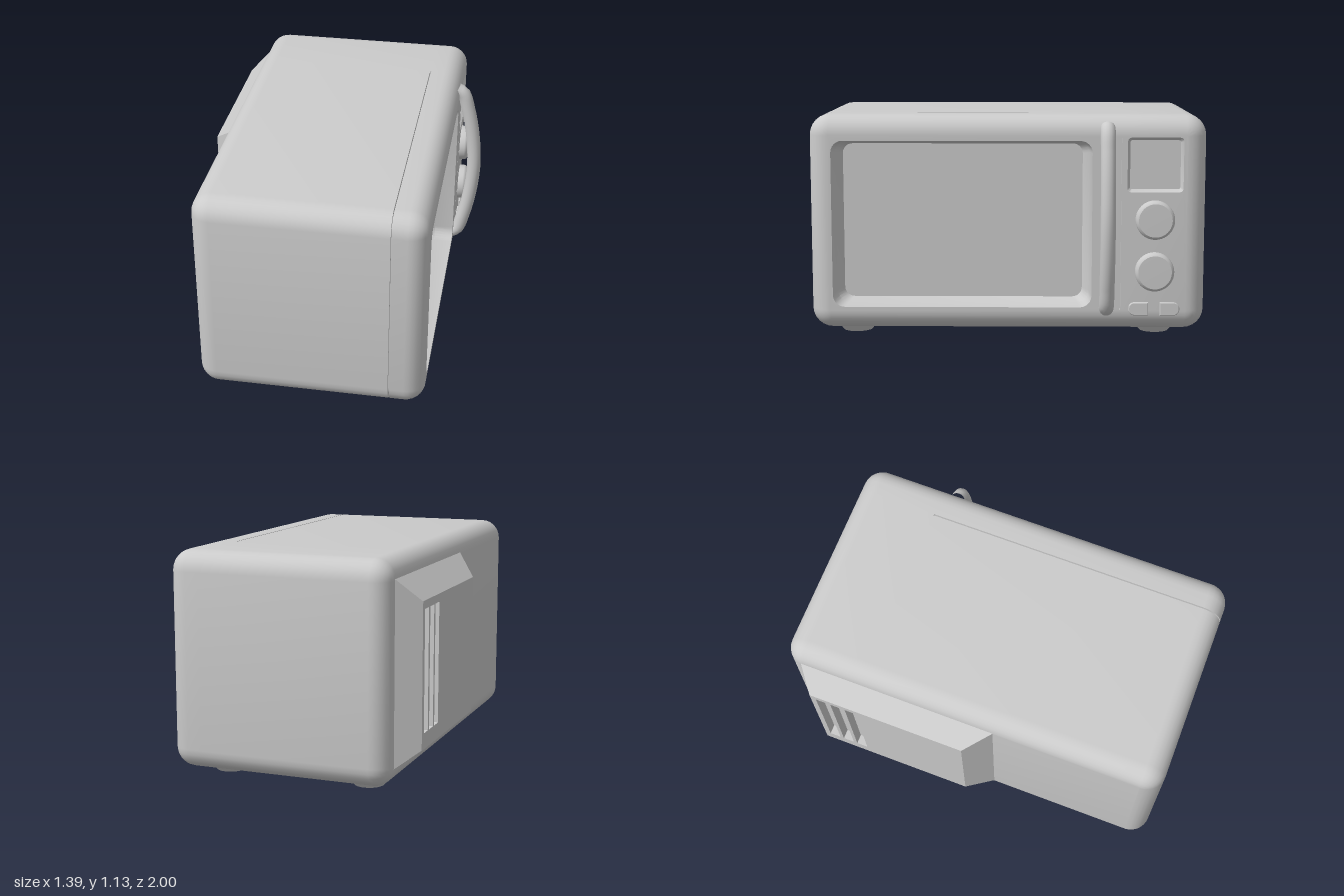
import * as THREE from 'three';
import { mergeGeometries, toCreasedNormals } from 'three/addons/utils/BufferGeometryUtils.js';

// Parts are laid out in a panel frame: u right, v up, w outwards.
const material = new THREE.MeshStandardMaterial({ color: 0xcccccc });
const DOOR_EDGE = 0.57;

// Counter-clockwise rounded rectangle as a list of 2D points.
function roundRect(u0, u1, v0, v1, r, n = 6) {
  const pts = [];
  const corners = [[u1 - r, v0 + r], [u1 - r, v1 - r], [u0 + r, v1 - r], [u0 + r, v0 + r]];
  corners.forEach(([u, v], k) => {
    for (let i = 0; i <= n; i++) {
      const a = (k - 1 + i / n) * Math.PI / 2;
      pts.push(new THREE.Vector2(u + r * Math.cos(a), v + r * Math.sin(a)));
    }
  });
  return pts;
}

// Skin between rings of equal point count; each ring is { pts, w }.
function loft(rings) {
  const pos = [], index = [], n = rings[0].pts.length;
  rings.forEach(({ pts, w }) => pts.forEach(p => pos.push(p.x, p.y, w)));
  for (let i = 0; i < rings.length - 1; i++) {
    for (let j = 0; j < n; j++) {
      const a = i * n + j, b = i * n + (j + 1) % n;
      index.push(a, b, b + n, a, b + n, a + n);
    }
  }
  const g = new THREE.BufferGeometry();
  g.setAttribute('position', new THREE.Float32BufferAttribute(pos, 3));
  g.setIndex(index);
  return g;
}

// Flat face at depth w with optional holes.
function face(pts, w, holes = []) {
  const shape = new THREE.Shape(pts);
  holes.forEach(h => shape.holes.push(new THREE.Path(h)));
  return new THREE.ShapeGeometry(shape).translate(0, 0, w);
}

// Pocket: walls running inwards from the first ring, closed by a floor.
function pocket(rings) {
  const last = rings[rings.length - 1];
  return [loft(rings), face(last.pts, last.w)];
}

function mesh(name, geometries, crease = 0.45) {
  const plain = geometries.map(g => {
    const p = g.index ? g.toNonIndexed() : g;
    p.deleteAttribute('uv');
    p.deleteAttribute('normal');
    return p;
  });
  const m = new THREE.Mesh(toCreasedNormals(mergeGeometries(plain), crease), material);
  m.name = name;
  return m;
}

// Body outline, inset evenly, with extra points where the door seam ends.
function bodyRing(inset) {
  const v0 = 0.04 + inset, v1 = 1.133 - inset;
  const pts = roundRect(-1 + inset, 1 - inset, v0, v1, Math.max(0.104 - inset, 0.004));
  pts.splice(14, 0, new THREE.Vector2(DOOR_EDGE, v1), new THREE.Vector2(DOOR_EDGE - 0.001, v1));
  pts.push(new THREE.Vector2(DOOR_EDGE - 0.001, v0), new THREE.Vector2(DOOR_EDGE, v0));
  return pts;
}

function makeBody() {
  const R = 0.1, back = -0.59, front = 0.555, steps = 7, rings = [];
  const full = bodyRing(0), sunk = bodyRing(0.02);
  const groove = full.map((p, i) => (p.x < DOOR_EDGE - 0.0005 ? sunk[i] : p));
  const arc = i => {
    const a = i / steps * Math.PI / 2;
    return [bodyRing(R * (1 - Math.cos(a))), R * (1 - Math.sin(a))];
  };
  for (let i = steps; i >= 0; i--) {
    const [pts, d] = arc(i);
    rings.push({ pts, w: back + d });
  }
  rings.push({ pts: full, w: 0.377 }, { pts: groove, w: 0.377 }, { pts: groove, w: 0.384 }, { pts: full, w: 0.384 });
  for (let i = 0; i <= steps; i++) {
    const [pts, d] = arc(i);
    rings.push({ pts, w: front - d });
  }
  // Window, display and door gap sunk into the front.
  const win = (d, r) => roundRect(-0.885 + d, 0.425 - d, 0.16 + d * 0.6, 1.005 - d * 0.6, r);
  const screen = d => roundRect(0.6 + d, 0.88 - d, 0.748 + d, 1.022 - d, 0.018 - d * 0.6, 3);
  const gap = roundRect(0.565, 0.571, 0.15, 1.02, 0.001, 1);
  const endRing = bodyRing(R);
  return mesh('body', [
    loft(rings),
    face(endRing, front, [win(0, 0.06), screen(0), gap]),
    face(endRing, -back).rotateY(Math.PI),
    ...pocket([{ pts: win(0, 0.06), w: front }, { pts: win(0.012, 0.06), w: front - 0.1 }, { pts: win(0.043, 0.05), w: front - 0.15 }]),
    ...pocket([{ pts: screen(0), w: front }, { pts: screen(0.014), w: front - 0.02 }]),
    ...pocket([{ pts: gap, w: front }, { pts: gap, w: front - 0.02 }]),
  ]);
}

// Tapered rear housing with three vent slots.
function makeHousing() {
  const base = roundRect(-0.91, 0.13, 0.13, 1.04, 0.001, 1);
  const outer = roundRect(-0.83, 0, 0.212, 0.93, 0.001, 1);
  const slots = [0, 1, 2].map(i => roundRect(-0.8 + i * 0.08, -0.74 + i * 0.08, 0.29, 0.89, 0.001, 1));
  return mesh('rearHousing', [
    loft([{ pts: base, w: 0.588 }, { pts: outer, w: 0.7 }]),
    face(outer, 0.7, slots),
    ...slots.flatMap(s => pocket([{ pts: s, w: 0.7 }, { pts: s, w: 0.65 }])),
  ], 0.3);
}

function makeHandle() {
  const path = [[0.535, 0.15], [0.572, 0.172], [0.605, 0.27], [0.637, 0.43], [0.651, 0.61],
    [0.637, 0.79], [0.605, 0.95], [0.572, 1.048], [0.535, 1.07]];
  const curve = new THREE.CatmullRomCurve3(path.map(([w, v]) => new THREE.Vector3(0.5, v, w)));
  const m = new THREE.Mesh(new THREE.TubeGeometry(curve, 40, 0.038, 16), material);
  m.name = 'handle';
  return m;
}

function makeKnob(v) {
  const profile = [[0.098, -0.01], [0.098, 0.028], [0.094, 0.038], [0.084, 0.045], [0, 0.046]];
  const g = new THREE.LatheGeometry(profile.map(p => new THREE.Vector2(...p)), 40).rotateX(Math.PI / 2);
  const m = mesh('knob', [g], 0.6);
  m.position.set(0.74, v, 0.555);
  return m;
}

// Button with one rounded end; side is -1 or 1.
function makeButton(side) {
  const s = new THREE.Shape();
  s.moveTo(-0.046, -0.03);
  s.lineTo(0.02, -0.03);
  s.quadraticCurveTo(0.046, -0.026, 0.046, 0);
  s.quadraticCurveTo(0.046, 0.026, 0.02, 0.03);
  s.lineTo(-0.046, 0.03);
  const g = new THREE.ExtrudeGeometry(s, {
    depth: 0.015, bevelThickness: 0.004, bevelSize: 0.004, bevelSegments: 1, curveSegments: 6,
  });
  if (side < 0) g.rotateZ(Math.PI);
  const m = mesh('button', [g], 0.5);
  m.position.set(0.74 + side * 0.079, 0.155, 0.55);
  return m;
}

export function createModel() {
  const model = new THREE.Group();
  model.name = 'microwaveOven';

  const front = new THREE.Group();
  front.name = 'cabinet';
  front.rotation.y = Math.PI / 2;
  front.add(makeBody(), makeHandle(), makeKnob(0.61), makeKnob(0.347), makeButton(-1), makeButton(1));

  const rear = new THREE.Group();
  rear.name = 'rear';
  rear.rotation.y = -Math.PI / 2;
  rear.add(makeHousing());
  model.add(front, rear);

  // Tapered feet
  for (const x of [-0.41, 0.337]) {
    for (const z of [-0.76, 0.785]) {
      const foot = mesh('foot', [new THREE.CylinderGeometry(0.11, 0.075, 0.042, 28)], 0.5);
      foot.position.set(x, 0.021, z);
      model.add(foot);
    }
  }
  return model;
}
